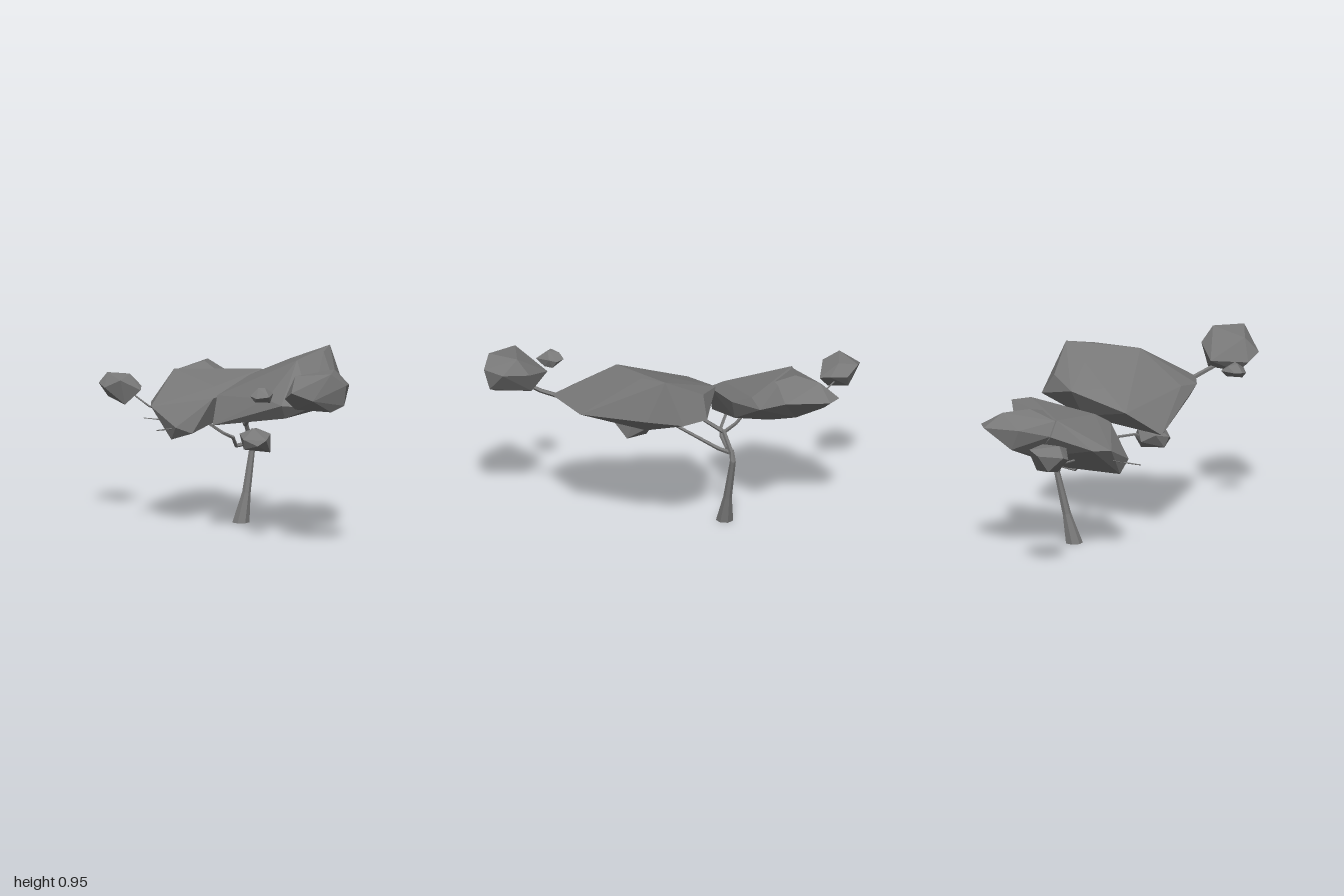
import * as THREE from 'three';
import { ConvexGeometry } from 'three/addons/geometries/ConvexGeometry.js';

const grey = new THREE.MeshStandardMaterial({ color: 0x787878 });
grey.name = 'stone grey';
grey.flatShading = true;

const V = (p) => new THREE.Vector3(p[0], p[1], p[2]);

function part(name, geometry) {
  const mesh = new THREE.Mesh(geometry, grey);
  mesh.name = name;
  return mesh;
}

// Faceted leaf mass spanned by a few corner points
const crown = (name, points) => part(name, new ConvexGeometry(points.map(V)));

// Tapered limb through points [x, y, z, radius]
function limb(name, path, sides = 5) {
  const up = new THREE.Vector3(0, 1, 0);
  const pos = [], index = [];
  path.forEach((p, i) => {
    const a = V(path[Math.max(i - 1, 0)]), b = V(path[Math.min(i + 1, path.length - 1)]);
    const dir = p[1] === 0 ? up : b.sub(a).normalize();
    const q = new THREE.Quaternion().setFromUnitVectors(up, dir);
    for (let s = 0; s < sides; s++) {
      const t = (s / sides) * Math.PI * 2;
      const v = new THREE.Vector3(Math.sin(t) * p[3], 0, Math.cos(t) * p[3]).applyQuaternion(q).add(V(p));
      pos.push(v.x, v.y, v.z);
      if (i === 0) continue;
      const n = (s + 1) % sides, lo = (i - 1) * sides, hi = i * sides;
      index.push(lo + s, lo + n, hi + n, lo + s, hi + n, hi + s);
    }
  });
  const top = (path.length - 1) * sides;
  for (let s = 1; s < sides - 1; s++) index.push(0, s + 1, s, top, top + s, top + s + 1);
  const indexed = new THREE.BufferGeometry();
  indexed.setAttribute('position', new THREE.Float32BufferAttribute(pos, 3));
  indexed.setIndex(index);
  const geo = indexed.toNonIndexed();
  geo.computeVertexNormals();
  return part(name, geo);
}

export function createModel() {
  const tree = new THREE.Group();
  tree.name = 'windsweptTree';

  // Trunk with flared foot
  tree.add(limb('trunk', [
    [0.048, 0, -0.245, 0.046], [0.088, 0.15, -0.255, 0.023],
    [0.135, 0.37, -0.276, 0.016], [0.118, 0.425, -0.272, 0.012],
  ], 7));

  // Branches
  const branches = {
    upperBranch: [[0.125, 0.41, -0.272, 0.013], [0.072, 0.52, -0.235, 0.012]],
    frontFork: [[0.072, 0.51, -0.238, 0.012], [0.045, 0.575, -0.135, 0.01], [0.055, 0.67, -0.09, 0.009]],
    backFork: [[0.072, 0.51, -0.238, 0.011], [0.08, 0.56, -0.3, 0.009], [0.068, 0.64, -0.37, 0.008]],
    sideBranch: [[0.125, 0.41, -0.274, 0.012], [0.065, 0.415, -0.21, 0.011],
      [-0.04, 0.525, 0.02, 0.008], [-0.08, 0.525, 0.11, 0.007], [-0.12, 0.5, 0.18, 0.005]],
    lowBranch: [[0.12, 0.41, -0.272, 0.012], [0.03, 0.4, -0.26, 0.011],
      [-0.005, 0.45, -0.235, 0.01], [-0.06, 0.475, -0.24, 0.009], [-0.13, 0.53, -0.28, 0.008]],
    frontBallBranch: [[-0.05, 0.7, 0.58, 0.014], [-0.08, 0.735, 0.7, 0.012], [-0.12, 0.77, 0.79, 0.01]],
    backBallBranch: [[-0.19, 0.55, -0.55, 0.006], [-0.19, 0.56, -0.77, 0.005], [-0.24, 0.62, -0.86, 0.004]],
    lowerTwig: [[-0.27, 0.51, -0.32, 0.005], [-0.43, 0.51, -0.295, 0.003]],
    upperTwig: [[-0.3, 0.54, -0.4, 0.004], [-0.418, 0.556, -0.447, 0.002]],
  };
  for (const [name, path] of Object.entries(branches)) tree.add(limb(name, path));

  // Large front crown
  tree.add(crown('frontCrown', [
    [0.375, 0.95, 0.11], [0.05, 0.92, 0.32], [0.27, 0.935, 0.22], [0.19, 0.885, 0.03],
    [0.427, 0.72, 0.02], [0.4, 0.74, 0.21], [0.19, 0.71, 0.53], [-0.06, 0.717, 0.645],
    [-0.165, 0.72, 0.52], [-0.13, 0.65, 0.5], [-0.17, 0.74, 0.38], [-0.3, 0.57, 0.05],
    [-0.18, 0.7, -0.1], [0.11, 0.79, -0.19], [0.29, 0.83, -0.1], [0.365, 0.72, -0.11],
    [0.3, 0.65, 0.2], [0.1, 0.62, 0.22], [0.1, 0.64, -0.1], [-0.01, 0.8, -0.06],
  ]));

  // Back crown in two lobes with a notch between them
  tree.add(crown('backCrown', [
    [-0.32, 0.45, -0.33], [-0.1, 0.485, -0.5], [-0.26, 0.49, -0.22], [0.1, 0.6, -0.29],
    [-0.365, 0.61, -0.46], [-0.33, 0.52, -0.27], [-0.31, 0.62, -0.55], [-0.13, 0.77, -0.62],
    [0.345, 0.75, -0.39], [0.14, 0.71, -0.27], [0.21, 0.71, -0.54], [0.24, 0.775, -0.36],
    [-0.1, 0.72, -0.26], [-0.15, 0.67, -0.19], [0.02, 0.545, -0.62], [-0.13, 0.69, -0.67],
  ]));
  tree.add(crown('backCrownLobe', [
    [0.19, 0.72, -0.825], [0.25, 0.72, -0.77], [0.14, 0.79, -0.73], [0.05, 0.8, -0.615],
    [0.21, 0.71, -0.54], [0.01, 0.72, -0.76], [-0.12, 0.765, -0.62], [-0.12, 0.69, -0.665],
    [0.02, 0.545, -0.62], [0.06, 0.61, -0.76], [-0.09, 0.51, -0.5], [0.05, 0.74, -0.4],
  ]));

  // Outlying leaf balls
  tree.add(crown('frontBall', [
    [-0.308, 0.84, 0.86], [-0.255, 0.92, 0.81], [-0.03, 0.942, 0.83], [-0.13, 0.94, 0.965],
    [0.012, 0.87, 0.91], [0, 0.86, 0.77], [-0.055, 0.77, 0.97], [-0.11, 0.735, 0.93],
    [-0.235, 0.74, 0.78], [-0.15, 0.81, 0.655], [-0.06, 0.88, 1], [-0.06, 0.745, 0.75],
    [-0.3, 0.8, 0.78], [-0.22, 0.8, 0.93],
  ]));
  tree.add(crown('smallFrontBall', [
    [-0.402, 0.8, 0.6], [-0.375, 0.8, 0.57], [-0.3, 0.805, 0.55], [-0.275, 0.8, 0.59],
    [-0.28, 0.81, 0.63], [-0.34, 0.8, 0.69], [-0.39, 0.79, 0.645], [-0.36, 0.841, 0.61],
    [-0.33, 0.843, 0.63], [-0.29, 0.762, 0.61], [-0.385, 0.77, 0.62], [-0.31, 0.765, 0.65],
    [-0.33, 0.83, 0.57],
  ]));
  tree.add(crown('lowBall', [
    [-0.2, 0.455, 0.2], [-0.07, 0.437, 0.25], [-0.04, 0.5, 0.155], [-0.05, 0.53, 0.22],
    [-0.14, 0.562, 0.2], [-0.08, 0.55, 0.13], [-0.215, 0.51, 0.22], [-0.13, 0.51, 0.31],
    [-0.12, 0.49, 0.107], [-0.09, 0.45, 0.145], [-0.19, 0.53, 0.14], [-0.17, 0.48, 0.29],
  ]));
  tree.add(crown('backBall', [
    [-0.405, 0.68, -0.92], [-0.4, 0.66, -0.87], [-0.365, 0.735, -0.9], [-0.3, 0.69, -1],
    [-0.23, 0.71, -0.98], [-0.19, 0.66, -0.92], [-0.2, 0.66, -0.83], [-0.235, 0.645, -0.78],
    [-0.34, 0.7, -0.81], [-0.3, 0.568, -0.83], [-0.24, 0.59, -0.93], [-0.33, 0.6, -0.95],
    [-0.24, 0.72, -0.88],
  ]));

  return tree;
}
